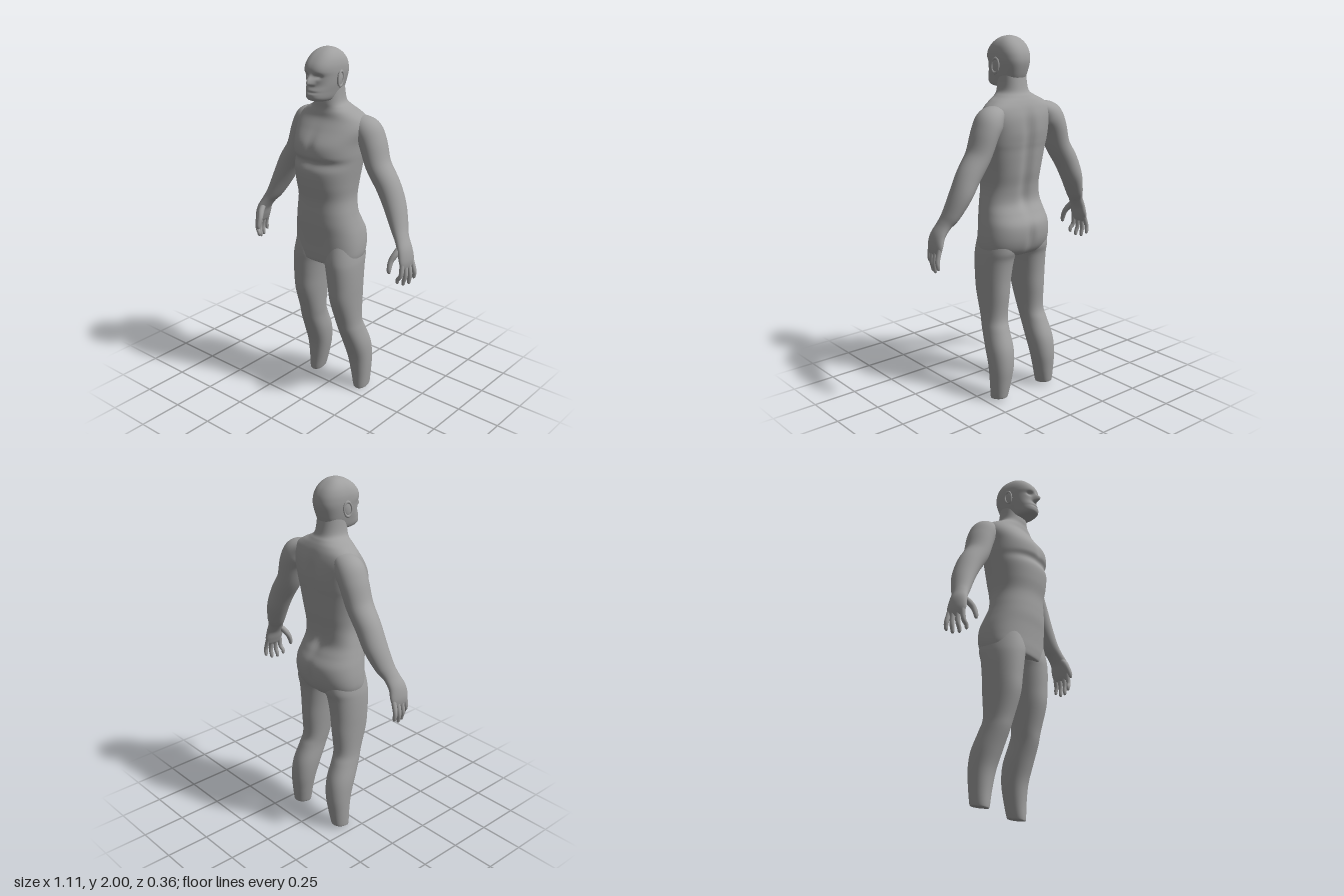
import * as THREE from 'three';

const skin = new THREE.MeshStandardMaterial({ color: 0xa0a0a0 });
skin.name = 'grey skin';

const bell = (v, width) => Math.exp(-((v / width) ** 2));
const ramp = THREE.MathUtils.smoothstep;
const rounded = (v, n) => Math.sign(v) * Math.abs(v) ** (2 / n);

// Catmull-Rom blend between the rows of a section table
function sample(rows, s) {
  const f = s * (rows.length - 1);
  const i = Math.min(Math.floor(f), rows.length - 2);
  const t = f - i;
  const at = (k) => rows[Math.max(0, Math.min(rows.length - 1, k))];
  return rows[i].map((b, k) => {
    const a = at(i - 1)[k], c = at(i + 1)[k], d = at(i + 2)[k];
    return b + 0.5 * t * (c - a + t * (2 * a - 5 * b + 4 * c - d + t * (3 * (b - c) + d - a)));
  });
}

// Closed skin through rings; point(s, angle) returns [x, y, z], side -1 mirrors it
function loft(name, point, rings, segs, side = 1) {
  const pos = [], idx = [];
  const tri = (a, b, c) => (side > 0 ? idx.push(a, b, c) : idx.push(a, c, b));
  const addRing = (s) => {
    const start = pos.length / 3;
    for (let j = 0; j < segs; j++) {
      const [x, y, z] = point(s, (j / segs) * Math.PI * 2);
      pos.push(x * side, y, z);
    }
    return start;
  };
  for (let i = 0; i <= rings; i++) addRing(i / rings);
  for (let i = 0; i < rings; i++) {
    for (let j = 0; j < segs; j++) {
      const a = i * segs + j, b = i * segs + ((j + 1) % segs);
      tri(a, a + segs, b);
      tri(b, a + segs, b + segs);
    }
  }
  // End caps with their own vertices keep a crisp edge
  for (const s of [0, 1]) {
    const start = addRing(s);
    const centre = [0, 0, 0];
    for (let j = 0; j < segs; j++) for (let k = 0; k < 3; k++) centre[k] += pos[(start + j) * 3 + k] / segs;
    const c = pos.length / 3;
    pos.push(...centre);
    for (let j = 0; j < segs; j++) {
      const a = start + j, b = start + ((j + 1) % segs);
      if (s === 0) tri(c, a, b); else tri(c, b, a);
    }
  }
  const geo = new THREE.BufferGeometry();
  geo.setAttribute('position', new THREE.Float32BufferAttribute(pos, 3));
  geo.setIndex(idx);
  geo.computeVertexNormals();
  const mesh = new THREE.Mesh(geo, skin);
  mesh.name = name;
  return mesh;
}

// Upright body section from a row [y, halfWidth, frontZ, backZ, widestZ]
function bodyPoint(rows, n, sculpt) {
  return (s, a) => {
    const [y, w, front, back, mid] = sample(rows, s);
    const x = w * rounded(Math.cos(a), n), q = rounded(Math.sin(a), n);
    const z = mid + q * (q > 0 ? front - mid : mid - back);
    return [x, y, z + sculpt(x, y, q)];
  };
}

// Limb running upward along rows [x, y, z, radiusAcross, radiusZ]
function limb(name, rows, side, rings, segs) {
  return loft(name, (s, a) => {
    const [x, y, z, r, rz] = sample(rows, s);
    const p = sample(rows, Math.max(0, s - 0.01)), q = sample(rows, Math.min(1, s + 0.01));
    const dx = q[0] - p[0], dy = q[1] - p[1], len = Math.hypot(dx, dy) || 1;
    const u = r * Math.cos(a);
    return [x + (u * dy) / len, y - (u * dx) / len, z + rz * Math.sin(a)];
  }, rings, segs, side);
}

const torsoRows = [
  [0.85, 0.02, 0.02, -0.04, 0], [0.835, 0.12, 0.09, -0.1, 0], [0.83, 0.185, 0.118, -0.128, 0],
  [0.87, 0.206, 0.128, -0.16, -0.01], [0.93, 0.208, 0.133, -0.178, -0.02],
  [1.0, 0.2, 0.14, -0.177, -0.02], [1.06, 0.188, 0.148, -0.145, -0.01],
  [1.12, 0.176, 0.15, -0.116, 0], [1.2, 0.165, 0.152, -0.12, 0], [1.28, 0.172, 0.168, -0.135, 0],
  [1.36, 0.183, 0.174, -0.145, -0.01], [1.41, 0.19, 0.157, -0.15, -0.02],
  [1.45, 0.195, 0.172, -0.156, -0.03], [1.51, 0.2, 0.162, -0.162, -0.04],
  [1.58, 0.213, 0.112, -0.158, -0.05], [1.63, 0.2, 0.078, -0.145, -0.06],
  [1.665, 0.155, 0.068, -0.13, -0.05], [1.69, 0.108, 0.064, -0.115, -0.03],
  [1.72, 0.08, 0.065, -0.097, -0.01], [1.8, 0.072, 0.06, -0.082, -0.01],
];

const headRows = [
  [1.728, 0.03, 0.06, -0.03, 0.02], [1.733, 0.05, 0.125, -0.05, 0.03],
  [1.75, 0.062, 0.153, -0.065, 0.03], [1.785, 0.072, 0.15, -0.085, 0.02],
  [1.82, 0.08, 0.138, -0.098, 0.02], [1.86, 0.086, 0.14, -0.108, 0.01],
  [1.89, 0.088, 0.149, -0.108, 0.01], [1.92, 0.086, 0.14, -0.1, 0.01],
  [1.95, 0.077, 0.116, -0.082, 0.01], [1.975, 0.06, 0.085, -0.055, 0.01],
  [1.992, 0.035, 0.05, -0.025, 0.012], [2.0, 0, 0.012, 0.012, 0.012],
];

// Leg rows: [y, innerX, outerX, frontZ, backZ]
const legRows = [
  [0, 0.13, 0.207, -0.048, -0.147], [0.015, 0.123, 0.211, -0.045, -0.152],
  [0.1, 0.105, 0.216, -0.04, -0.162], [0.2, 0.086, 0.22, -0.025, -0.171],
  [0.3, 0.075, 0.219, 0.01, -0.16], [0.4, 0.073, 0.207, 0.05, -0.12],
  [0.47, 0.065, 0.201, 0.07, -0.096], [0.6, 0.05, 0.205, 0.11, -0.105],
  [0.7, 0.039, 0.209, 0.12, -0.11], [0.8, 0.024, 0.21, 0.126, -0.122],
  [0.86, 0.008, 0.206, 0.125, -0.14], [0.95, 0.01, 0.19, 0.11, -0.14],
];

const armRows = [
  [0.527, 0.9, -0.008, 0.008, 0.04], [0.525, 0.915, -0.009, 0.015, 0.053],
  [0.519, 0.95, -0.01, 0.023, 0.06], [0.505, 1.0, -0.012, 0.028, 0.055],
  [0.476, 1.05, -0.025, 0.032, 0.05], [0.445, 1.1, -0.045, 0.042, 0.058],
  [0.397, 1.2, -0.066, 0.056, 0.069], [0.345, 1.3, -0.07, 0.064, 0.071],
  [0.279, 1.4, -0.07, 0.064, 0.077], [0.238, 1.51, -0.074, 0.07, 0.083],
  [0.2, 1.573, -0.072, 0.074, 0.08], [0.15, 1.61, -0.068, 0.045, 0.06],
  [0.1, 1.62, -0.065, 0.02, 0.03],
];

// Fingers: [knuckleZ, tipX, tipY, tipZ]
const fingers = [
  [0.032, 0.505, 0.82, 0.045], [0.004, 0.52, 0.803, 0.013],
  [-0.025, 0.531, 0.803, -0.022], [-0.052, 0.538, 0.825, -0.058],
];

function buildHead() {
  const head = new THREE.Group();
  head.name = 'head';
  head.add(loft('skull', bodyPoint(headRows, 2.5, (x, y, q) => {
    if (q <= 0) return 0;
    const nose = 0.044 * bell(x, 0.015) * ramp(-y, -1.89, -1.835) * ramp(y, 1.81, 1.83);
    const sockets = 0.015 * bell(Math.abs(x) - 0.036, 0.018) * bell(y - 1.863, 0.012);
    const mouth = 0.008 * bell(y - 1.782, 0.006) * bell(x, 0.035);
    const lips = 0.006 * bell(y - 1.782, 0.018) * bell(x, 0.03);
    return q * (nose - sockets - mouth + lips);
  }), 90, 144));
  for (const side of [1, -1]) {
    const ear = new THREE.Group();
    ear.name = side > 0 ? 'leftEar' : 'rightEar';
    const lobe = new THREE.Mesh(new THREE.SphereGeometry(1, 20, 14), skin);
    lobe.name = 'earLobe';
    lobe.scale.set(0.009, 0.042, 0.025);
    const rim = new THREE.Mesh(new THREE.TorusGeometry(0.024, 0.005, 8, 28).rotateY(Math.PI / 2), skin);
    rim.name = 'earRim';
    rim.scale.set(1, 1.6, 1);
    rim.position.x = side * 0.006;
    ear.add(lobe, rim);
    ear.position.set(side * 0.087, 1.845, 0.018);
    ear.rotation.set(-0.15, side * 0.15, 0);
    head.add(ear);
  }
  return head;
}

function buildArm(side) {
  const arm = new THREE.Group();
  arm.name = side > 0 ? 'leftArm' : 'rightArm';
  arm.add(limb('armAndPalm', armRows, side, 70, 36));
  fingers.forEach(([z, tx, ty, tz], i) => {
    const mid = [(0.53 + tx) / 2 + 0.006, (0.93 + ty) / 2, (z + tz) / 2];
    arm.add(limb('finger' + (i + 1), [
      [tx, ty, tz, 0.001, 0.001], [tx, ty + 0.006, tz, 0.008, 0.008],
      [tx + 0.002, ty + 0.025, tz, 0.011, 0.011], [...mid, 0.012, 0.013],
      [0.521, 0.94, z, 0.013, 0.014],
    ], side, 16, 14));
  });
  arm.add(limb('thumb', [
    [0.475, 0.882, 0.082, 0.001, 0.001], [0.475, 0.888, 0.081, 0.009, 0.008],
    [0.474, 0.91, 0.078, 0.013, 0.013], [0.474, 0.95, 0.062, 0.015, 0.017],
    [0.488, 0.99, 0.035, 0.018, 0.022], [0.495, 1.03, 0.0, 0.015, 0.02],
  ], side, 20, 16));
  return arm;
}

function buildLeg(side) {
  return loft(side > 0 ? 'leftLeg' : 'rightLeg', (s, a) => {
    const [y, inner, outer, front, back] = sample(legRows, s);
    const q = rounded(Math.sin(a), 2.2);
    const x = (inner + outer) / 2 + ((outer - inner) / 2) * rounded(Math.cos(a), 2.2);
    // Ankle cut rises slightly towards the back
    const lift = 0.009 * (1 - q) * Math.max(0, 1 - y / 0.1);
    return [x, y + lift, (front + back) / 2 + (q * (front - back)) / 2];
  }, 60, 48, side);
}

export function createModel() {
  const model = new THREE.Group();
  model.name = 'standingFigure';
  // Torso with breastbone, spine and seat grooves
  model.add(loft('torsoAndNeck', bodyPoint(torsoRows, 2.3, (x, y, q) => {
    if (q > 0) return -0.008 * q * bell(x, 0.025) * bell(y - 1.49, 0.07);
    const spine = 0.02 * bell(x, 0.032) * ramp(y, 1.02, 1.15) * ramp(-y, -1.66, -1.5);
    const seat = 0.014 * bell(x, 0.022) * bell(y - 0.92, 0.07);
    return -q * (spine + seat);
  }), 120, 96));
  model.add(buildHead());
  for (const side of [1, -1]) model.add(buildArm(side), buildLeg(side));
  return model;
}
